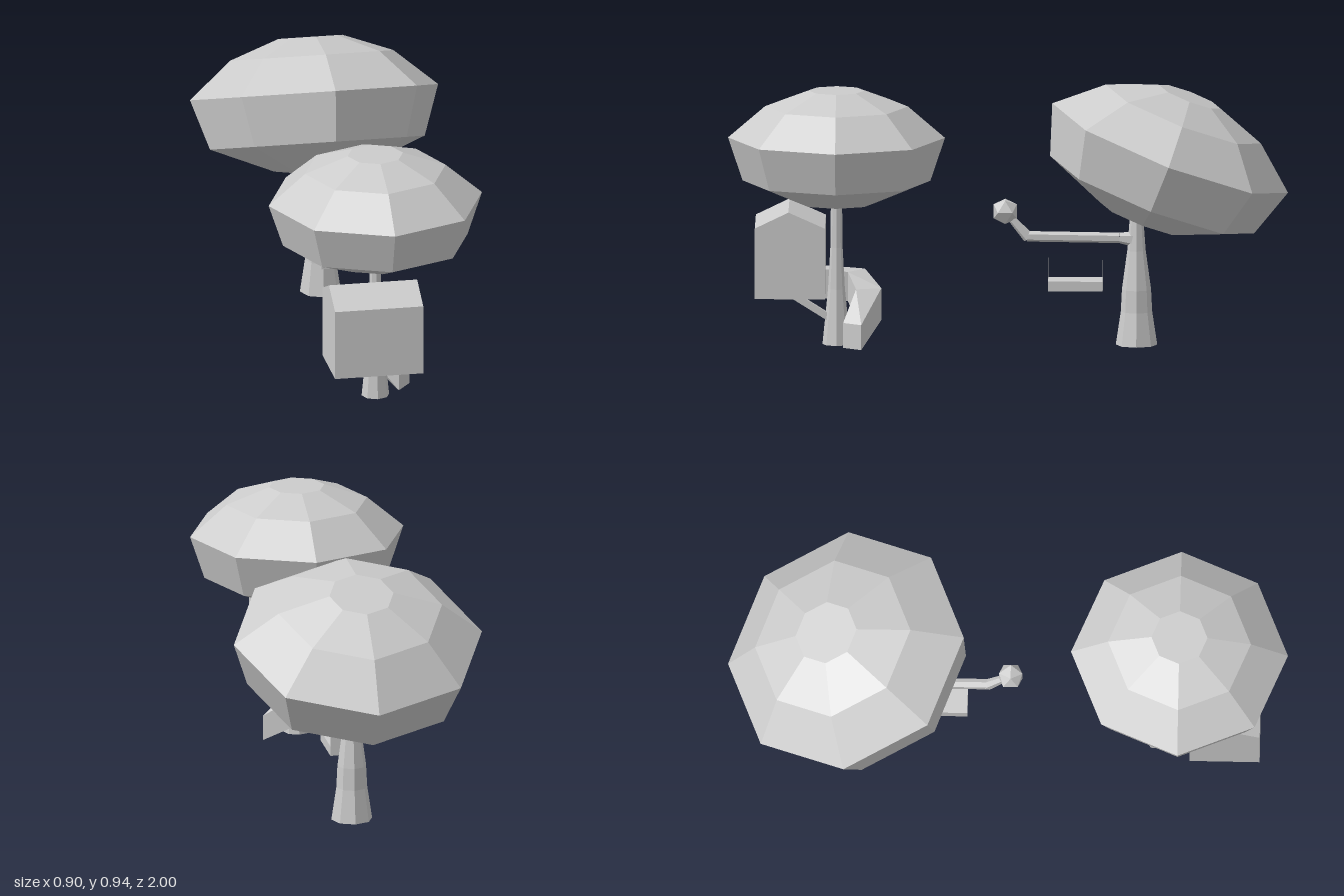
import * as THREE from 'three';

const material = new THREE.MeshStandardMaterial({ color: 0xcccccc, flatShading: true });
const thinMaterial = new THREE.MeshStandardMaterial({ color: 0xcccccc, flatShading: true, side: THREE.DoubleSide });

function add(parent, name, geometry, x = 0, y = 0, z = 0, mat = material) {
  const mesh = new THREE.Mesh(geometry, mat);
  mesh.name = name;
  mesh.position.set(x, y, z);
  parent.add(mesh);
  return mesh;
}

// Profile is a list of [radius, height], from the bottom up
function lathe(profile, sides = 8) {
  return new THREE.LatheGeometry(profile.map(([r, y]) => new THREE.Vector2(r, y)), sides);
}

// Tapered round limb between two points in the x = 0 plane, given as [y, z]
function limb(parent, name, [y0, z0], [y1, z1], r0, r1) {
  const dir = new THREE.Vector3(0, y1 - y0, z1 - z0);
  const mesh = add(parent, name, new THREE.CylinderGeometry(r1, r0, dir.length(), 6), 0, (y0 + y1) / 2, (z0 + z1) / 2);
  mesh.quaternion.setFromUnitVectors(new THREE.Vector3(0, 1, 0), dir.normalize());
}

// Closed bar through four-cornered sections
function loft(sections) {
  const index = [];
  const last = (sections.length - 1) * 4;
  for (let i = 0; i < last; i += 4) {
    for (let k = 0; k < 4; k++) {
      const n = (k + 1) % 4;
      index.push(i + k, i + 4 + k, i + 4 + n, i + k, i + 4 + n, i + n);
    }
  }
  index.push(0, 1, 2, 0, 2, 3, last, last + 2, last + 1, last, last + 3, last + 2);
  const geometry = new THREE.BufferGeometry();
  geometry.setAttribute('position', new THREE.Float32BufferAttribute(sections.flat(2), 3));
  geometry.setIndex(index);
  geometry.computeVertexNormals();
  return geometry;
}

// Crown profile measured from its widest ring
const crown = [[0, -0.255], [0.14, -0.235], [0.335, -0.155], [0.387, 0], [0.255, 0.113], [0.1, 0.17], [0, 0.17]];

export function createModel() {
  const model = new THREE.Group();

  // Front tree
  const frontTree = new THREE.Group();
  frontTree.name = 'frontTree';
  model.add(frontTree);
  add(frontTree, 'frontTrunk', lathe([[0, 0], [0.05, 0], [0.04, 0.1], [0.03, 0.2], [0.022, 0.35], [0.02, 0.52], [0, 0.52]]), 0, 0, 0.61);
  add(frontTree, 'frontCrown', lathe(crown), 0, 0.745, 0.61);

  // Back tree with a larger, leaning crown
  const backTree = new THREE.Group();
  backTree.name = 'backTree';
  model.add(backTree);
  add(backTree, 'backTrunk', lathe([[0, 0], [0.074, 0], [0.056, 0.12], [0.052, 0.2], [0.033, 0.34], [0.024, 0.46], [0, 0.46]]), 0, 0, -0.46);
  const backCrown = add(backTree, 'backCrown', lathe(crown), 0, 0.71, -0.58);
  backCrown.scale.setScalar(1.163);
  backCrown.rotation.x = -0.365;

  // Branch with a leaf ball at its tip
  limb(backTree, 'branchRoot', [0.38, -0.46], [0.385, -0.4], 0.03, 0.019);
  limb(backTree, 'branch', [0.385, -0.4], [0.39, -0.07], 0.019, 0.019);
  limb(backTree, 'branchTip', [0.385, -0.075], [0.47, 0.0], 0.02, 0.012);
  add(backTree, 'leafBall', new THREE.IcosahedronGeometry(0.049), 0, 0.48, 0.008);

  // Swing seat with thin end panels
  const swing = new THREE.Group();
  swing.name = 'swing';
  model.add(swing);
  add(swing, 'swingSeat', new THREE.BoxGeometry(0.11, 0.035, 0.195), 0, 0.2175, -0.2425);
  for (const z of [-0.145, -0.34]) {
    add(swing, 'swingEndPanel', new THREE.PlaneGeometry(0.11, 0.075), 0, 0.2725, z, thinMaterial);
  }

  // Gabled tree house, extruded along x
  const gable = new THREE.Shape([[-0.9, 0.18], [-0.65, 0.18], [-0.65, 0.435], [-0.78, 0.493], [-0.9, 0.435]]
    .map(([u, v]) => new THREE.Vector2(u, v)));
  const house = add(model, 'treeHouse', new THREE.ExtrudeGeometry(gable, { depth: 0.32, bevelEnabled: false }), -0.2);
  house.rotation.y = Math.PI / 2;

  // Brace from trunk to house floor
  const brace = add(model, 'houseBrace', new THREE.BoxGeometry(0.025, 0.024, 0.2), 0, 0.133, 0.695);
  brace.rotation.x = -Math.atan2(0.1, 0.16);

  // Ramp winding round the back of the front trunk: outer x, z, inner x, z, bottom, top
  const ramp = [
    [0.14, 0.52, 0.09, 0.585, 0, 0.09],
    [-0.01, 0.45, 0.02, 0.54, 0.085, 0.2],
    [-0.14, 0.51, -0.06, 0.57, 0.145, 0.25],
    [-0.15, 0.655, -0.06, 0.655, 0.155, 0.26],
  ].map(([ox, oz, ix, iz, b, t]) => [[ox, b, oz], [ox, t, oz], [ix, t, iz], [ix, b, iz]]);
  add(model, 'ramp', loft(ramp));

  return model;
}
